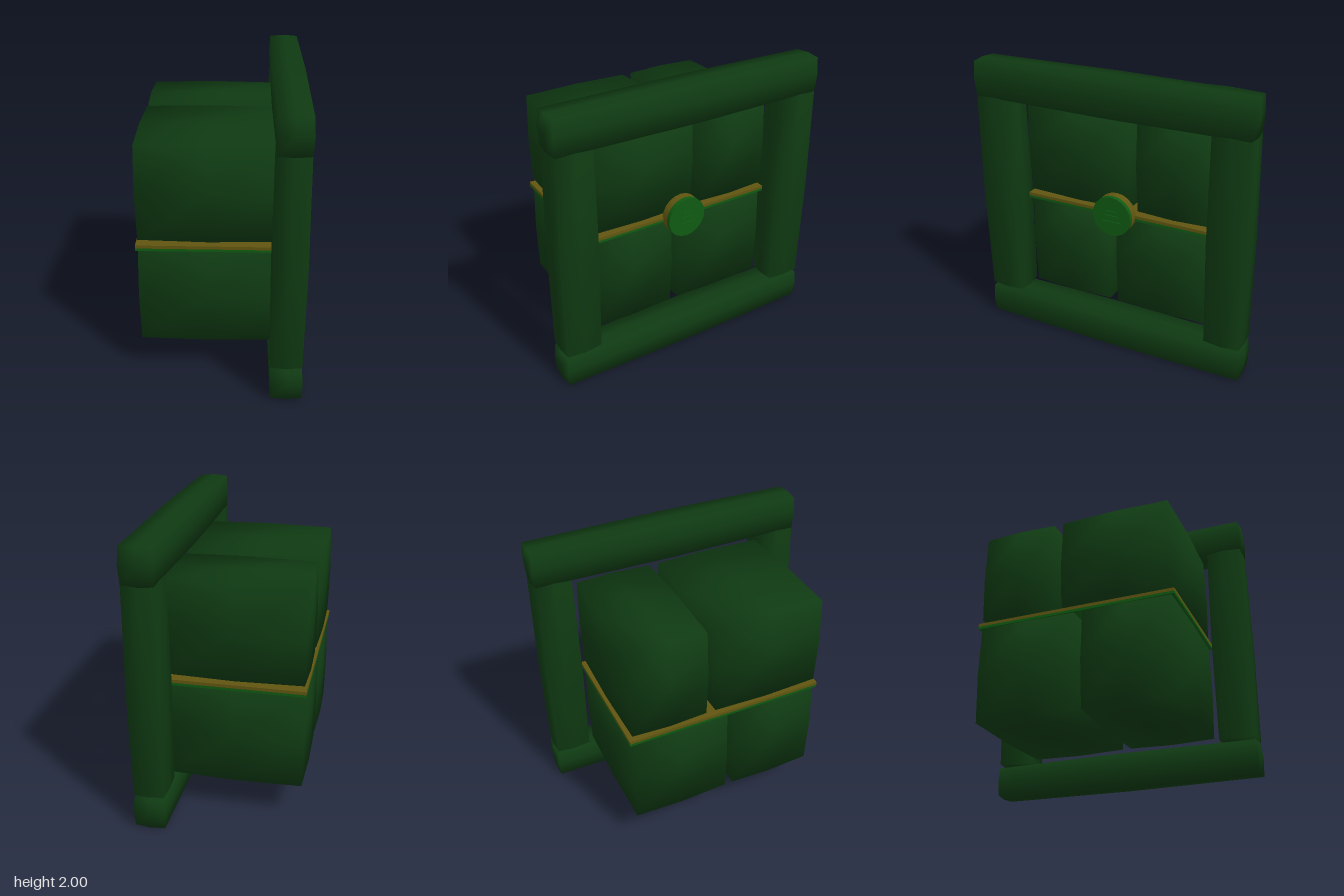
import * as THREE from 'three';
import { mergeVertices } from 'three/addons/utils/BufferGeometryUtils.js';

const darkGreen = new THREE.MeshStandardMaterial({ color: 0x0f3a12 });
const green = new THREE.MeshStandardMaterial({ color: 0x0f5a12 });
const ochre = new THREE.MeshStandardMaterial({ color: 0x605510 });

// Box given by its [min, max] ranges, with slightly swollen faces and shared smooth normals
function swollenBox(name, [x0, x1], [y0, y1], [z0, z1], bulge = 0.014) {
  let geo = new THREE.BoxGeometry(2, 2, 2, 2, 2, 2);
  geo.deleteAttribute('normal');
  geo.deleteAttribute('uv');
  geo = mergeVertices(geo);
  const half = [(x1 - x0) / 2, (y1 - y0) / 2, (z1 - z0) / 2];
  const p = geo.attributes.position;
  for (let i = 0; i < p.count; i++) {
    const c = [p.getX(i), p.getY(i), p.getZ(i)];
    const out = c.map((v, k) => {
      const a = c[(k + 1) % 3], b = c[(k + 2) % 3];
      return v * (half[k] - bulge * (a * a + b * b) / 2);
    });
    p.setXYZ(i, ...out);
  }
  geo.computeVertexNormals();
  const mesh = new THREE.Mesh(geo, darkGreen);
  mesh.position.set((x0 + x1) / 2, (y0 + y1) / 2, (z0 + z1) / 2);
  mesh.name = name;
  return mesh;
}

function plainBox(name, [x0, x1], [y0, y1], [z0, z1], material) {
  const mesh = new THREE.Mesh(new THREE.BoxGeometry(x1 - x0, y1 - y0, z1 - z0), material);
  mesh.position.set((x0 + x1) / 2, (y0 + y1) / 2, (z0 + z1) / 2);
  mesh.name = name;
  return mesh;
}

// Disc facing +x
function disc(name, x0, x1, radius, material) {
  const geo = new THREE.CylinderGeometry(radius, radius, x1 - x0, 20);
  geo.rotateZ(-Math.PI / 2);
  const mesh = new THREE.Mesh(geo, material);
  mesh.position.set((x0 + x1) / 2, 1, 0);
  mesh.name = name;
  return mesh;
}

export function createModel() {
  const model = new THREE.Group();
  model.name = 'framedBlocks';

  // Square frame on the +x side
  const frame = new THREE.Group();
  frame.name = 'frame';
  const fx = [0.32, 0.555];
  frame.add(
    swollenBox('topBeam', fx, [1.73, 2], [-1, 1]),
    swollenBox('bottomBeam', fx, [0, 0.24], [-1, 1]),
    swollenBox('frontPost', fx, [0.245, 1.755], [0.72, 1]),
    swollenBox('backPost', fx, [0.245, 1.755], [-1, -0.72])
  );
  model.add(frame);

  // Four blocks, two per storey
  const blocks = new THREE.Group();
  blocks.name = 'blocks';
  const bx = [-0.56, 0.385], upper = [1.02, 1.705], lower = [0.26, 0.98];
  blocks.add(
    swollenBox('upperFrontBlock', bx, upper, [-0.1, 0.705]),
    swollenBox('upperBackBlock', bx, upper, [-0.705, -0.14]),
    swollenBox('lowerFrontBlock', bx, lower, [0.055, 0.705]),
    swollenBox('lowerBackBlock', bx, lower, [-0.705, 0.02])
  );
  model.add(blocks);

  // Two-layer shelf between the storeys
  model.add(
    plainBox('shelfTop', [-0.56, 0.39], [0.983, 1.005], [-0.715, 0.715], ochre),
    plainBox('shelfBottom', [-0.56, 0.39], [0.965, 0.983], [-0.715, 0.715], green)
  );

  // Round clasp with three raised slats
  const clasp = new THREE.Group();
  clasp.name = 'clasp';
  clasp.add(disc('claspBase', 0.38, 0.435, 0.145, ochre), disc('claspFace', 0.435, 0.465, 0.145, green));
  [[1.038, 0.075], [1.003, 0.1], [0.958, 0.14]].forEach(([y, w]) =>
    clasp.add(plainBox('claspSlat', [0.46, 0.472], [y - 0.006, y + 0.006], [-w / 2, w / 2], green)));
  model.add(clasp);

  return model;
}
